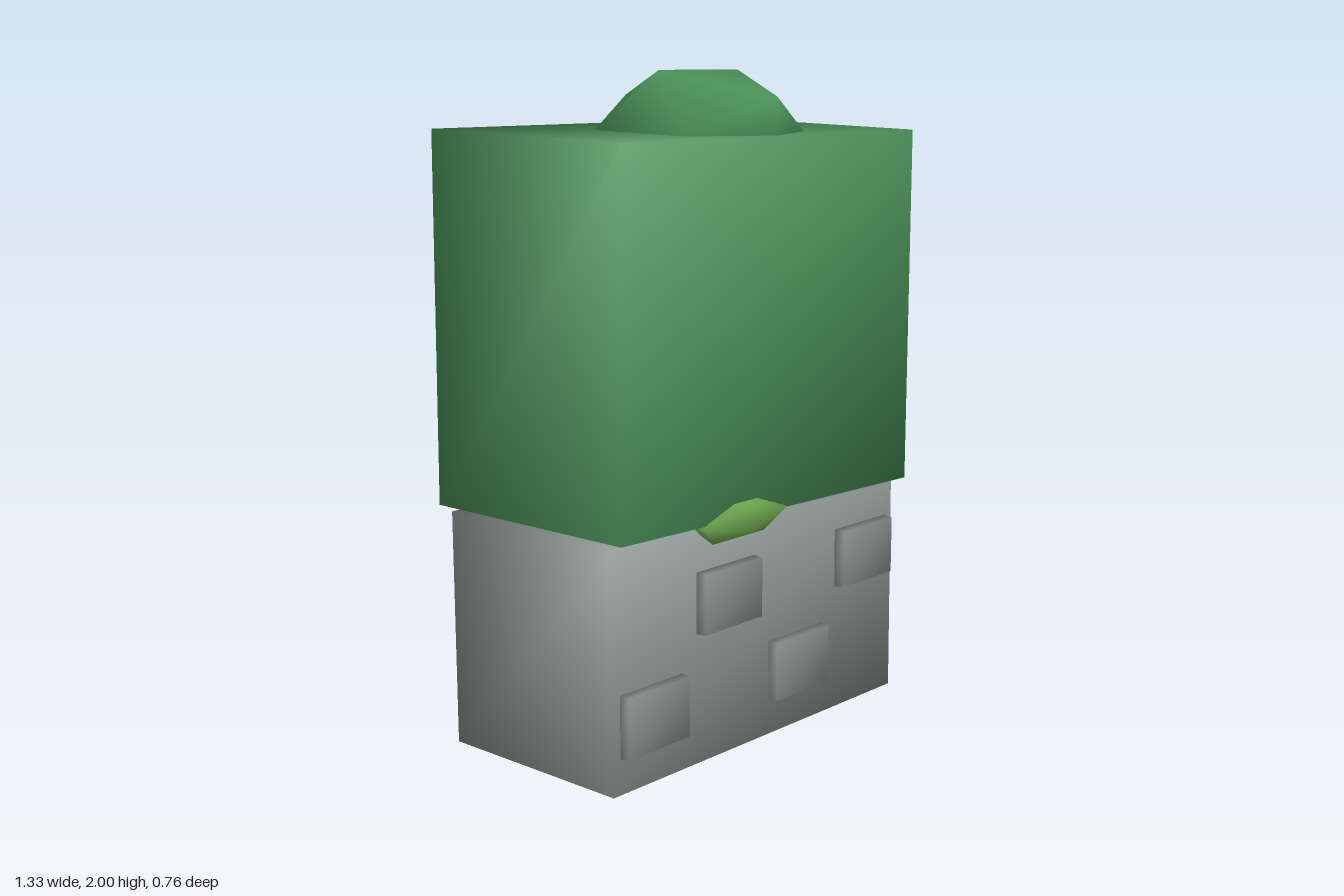
import * as THREE from 'three';
import { mergeVertices } from 'three/addons/utils/BufferGeometryUtils.js';

const material = (name, color) => new THREE.MeshStandardMaterial({ name, color });

// Weld shared corners so that shading runs smoothly across the whole form
function weld(geometry) {
  geometry.deleteAttribute('normal');
  geometry.deleteAttribute('uv');
  const welded = mergeVertices(geometry, 1e-4);
  welded.computeVertexNormals();
  return welded;
}

// Box whose corners are moved by a rule taking the signs of each corner
function softBox(place) {
  const geometry = weld(new THREE.BoxGeometry(2, 2, 2));
  const p = geometry.attributes.position;
  for (let i = 0; i < p.count; i++) {
    p.setXYZ(i, ...place(p.getX(i), p.getY(i), p.getZ(i)));
  }
  geometry.computeVertexNormals();
  return geometry;
}

// Squashed icosahedron used for the foliage clumps
function clump(rx, ry, rz) {
  const geometry = weld(new THREE.IcosahedronGeometry(1, 0));
  geometry.scale(rx, ry, rz);
  geometry.computeVertexNormals();
  return geometry;
}

export function createModel() {
  const model = new THREE.Group();
  model.name = 'hedgeOnStoneWall';

  const stone = material('stone grey', 0x8a9490);
  const brickGrey = material('brick grey', 0x7d8783);
  const hedgeGreen = material('hedge green', 0x4a9159);
  const leafGreen = material('leaf green', 0x6da64e);

  const add = (name, geometry, mat, x = 0, y = 0, z = 0) => {
    const mesh = new THREE.Mesh(geometry, mat);
    mesh.name = name;
    mesh.position.set(x, y, z);
    model.add(mesh);
    return mesh;
  };

  // Stone wall
  add('stoneWall', softBox((x, y, z) => [
    -0.004 + 0.652 * x,
    0.362 + 0.358 * y - 0.003 * x * (y < 0 ? 1 : 0),
    -0.005 + 0.325 * z - 0.003 * y,
  ]), stone);

  // Hedge block, slightly skewed so it sits a little crooked on the wall
  add('hedge', softBox((x, y, z) => [
    -0.001 + 0.656 * x - 0.005 * z * x + 0.002 * x * (y < 0 ? 1 : 0),
    y > 0 ? 1.826 - 0.01 * z : 0.72 - 0.014 * x,
    -0.006 + 0.368 * z + 0.005 * x + (y > 0 ? 0.003 : 0),
  ]), hedgeGreen);

  // Foliage clump on top and small leaf tuft at the front
  add('topClump', clump(0.338, 0.23, 0.345), hedgeGreen, -0.003, 1.805, 0.06).rotation.y = 0.015;
  add('leafTuft', clump(0.217, 0.075, 0.062), leafGreen, -0.135, 0.72, 0.332);

  // Raised bricks: centre x, centre y, side (+1 front, -1 back)
  const bricks = [
    [-0.175, 0.49, 1], [0.48, 0.49, 1], [-0.497, 0.205, 1], [0.152, 0.205, 1],
    [0.49, 0.503, -1], [-0.152, 0.503, -1], [0.173, 0.27, -1], [-0.48, 0.27, -1],
  ];
  const brick = softBox((x, y, z) => {
    const inset = z > 0 ? 0.965 : 1;
    return [0.131 * x * inset, 0.093 * y * inset, 0.022 * z];
  });
  for (const [x, y, side] of bricks) {
    const mesh = add('brick', brick, brickGrey, x, y, side > 0 ? 0.331 : -0.338);
    if (side < 0) mesh.rotation.y = Math.PI;
  }

  return model;
}
